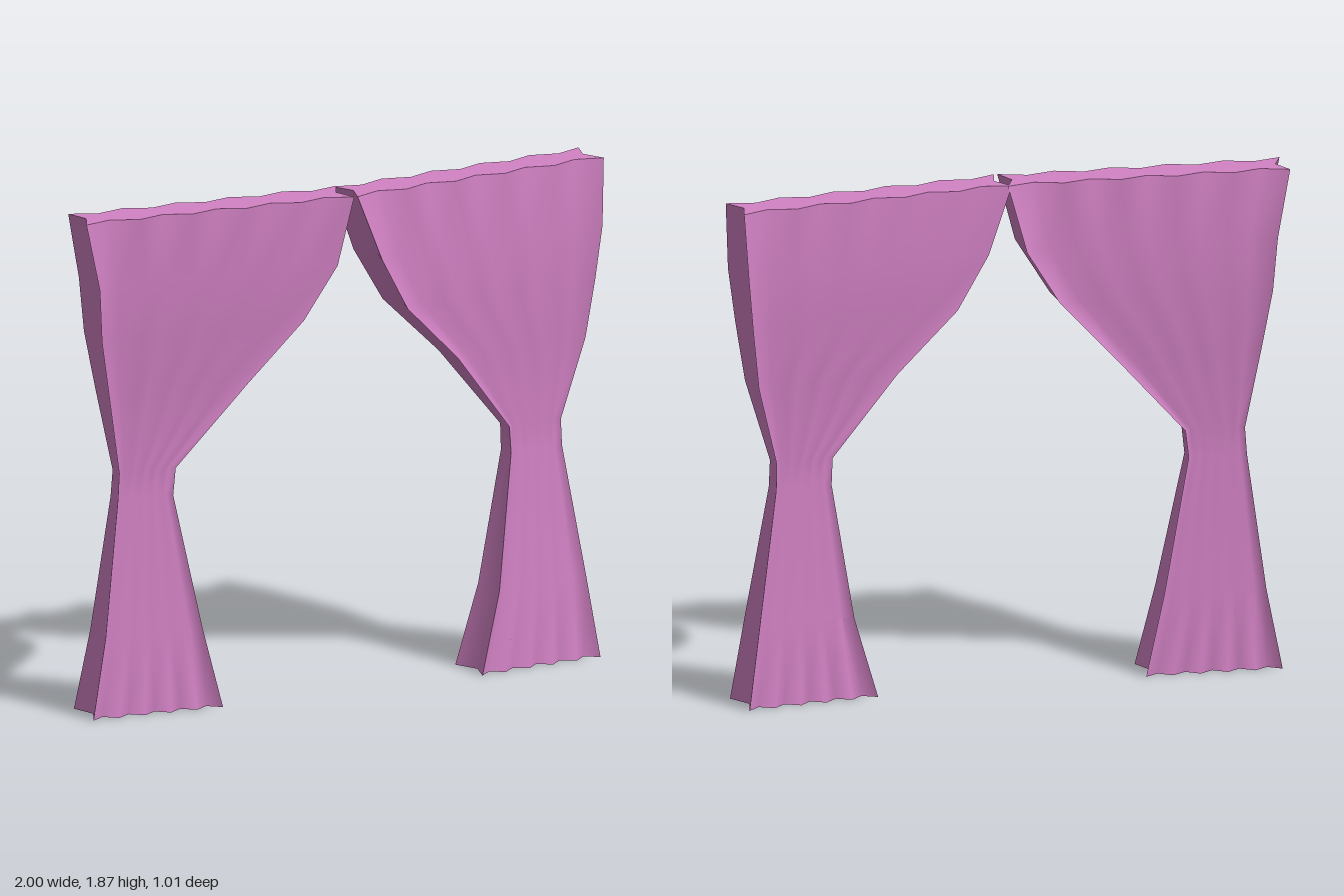
import * as THREE from 'three';
import { toCreasedNormals } from 'three/addons/utils/BufferGeometryUtils.js';

const FOLDS = 5;
const STEPS = FOLDS * 2; // one column per ridge and valley

// heights and half thicknesses shared by both panels, floor to top
const HEIGHTS = [0, 0.3, 0.8, 0.9, 1.2, 1.42, 1.62, 1.87];
const HALF = [0.093, 0.073, 0.035, 0.032, 0.066, 0.086, 0.1, 0.087];

// A closed, pleated panel standing on a slanted line in plan.
// start, end: [x, z] of the line; minX, maxX: the panel's ends at each height;
// drift: how far the cloth below the top hangs off the line in z.
function curtain(name, start, end, drift, minX, maxX, material) {
  const dir = new THREE.Vector2(end[0] - start[0], end[1] - start[1]);
  const slope = dir.y / dir.x;
  dir.normalize();
  const positions = [];
  const index = [];
  const ring = 2 * (STEPS + 1) + 2;

  HEIGHTS.forEach((y, level) => {
    const h = HALF[level];
    const shift = drift * Math.min(1, (1.87 - y) / 0.7);
    const put = (u, v, slide = 0) => {
      const x = THREE.MathUtils.lerp(minX[level], maxX[level], u);
      const z = start[1] + (x - start[0]) * slope + shift;
      positions.push(x - dir.y * v + dir.x * slide, y, z + dir.x * v + dir.y * slide);
    };
    // ridges on even columns, valleys on odd ones
    const depth = (i) => (i % 2 ? 0.6 * h : h);
    for (let i = 0; i <= STEPS; i++) put(i / STEPS, depth(i));
    put(1, 0, -0.4 * h); // pinched end
    for (let i = STEPS; i >= 0; i--) put(i / STEPS, -depth(i));
    put(0, 0, 0.4 * h);
  });

  // cloth surface
  for (let level = 0; level < HEIGHTS.length - 1; level++) {
    for (let i = 0; i < ring; i++) {
      const j = (i + 1) % ring;
      const a = level * ring + i, b = level * ring + j;
      index.push(a, b, b + ring, a, b + ring, a + ring);
    }
  }

  // top and hem, split along the middle so they follow the pinched ends
  const top = (HEIGHTS.length - 1) * ring;
  const back = (i) => 2 * STEPS + 2 - i;
  const cap = (a, b, c) => index.push(top + a, top + b, top + c, a, c, b);
  for (let i = 1; i < STEPS - 1; i++) {
    cap(i, i + 1, back(i + 1));
    cap(i, back(i + 1), back(i));
  }
  const ends = [
    [ring - 1, 0, 1, back(1), back(0)],
    [STEPS + 1, back(STEPS), back(STEPS - 1), STEPS - 1, STEPS],
  ];
  for (const [notch, ...rim] of ends) {
    for (let i = 0; i < 3; i++) cap(notch, rim[i], rim[i + 1]);
  }

  const geometry = new THREE.BufferGeometry();
  geometry.setAttribute('position', new THREE.Float32BufferAttribute(positions, 3));
  geometry.setIndex(index);
  const mesh = new THREE.Mesh(toCreasedNormals(geometry, 1.35), material);
  mesh.name = name;
  return mesh;
}

export function createModel() {
  const group = new THREE.Group();
  group.name = 'curtains';
  const cloth = new THREE.MeshStandardMaterial({ color: 0xd483c6, side: THREE.DoubleSide });

  group.add(curtain('rightCurtain', [-0.96, -0.415], [-0.03, 0.078], -0.027,
    [-0.918, -0.868, -0.812, -0.806, -0.854, -0.893, -0.911, -0.96],
    [-0.468, -0.532, -0.62, -0.61, -0.371, -0.192, -0.085, -0.03], cloth));

  group.add(curtain('leftCurtain', [-0.033, 0.08], [0.968, 0.412], 0.007,
    [0.465, 0.546, 0.616, 0.611, 0.381, 0.167, 0.058, -0.033],
    [0.945, 0.9, 0.823, 0.82, 0.9, 0.93, 0.953, 0.968], cloth));

  return group;
}
